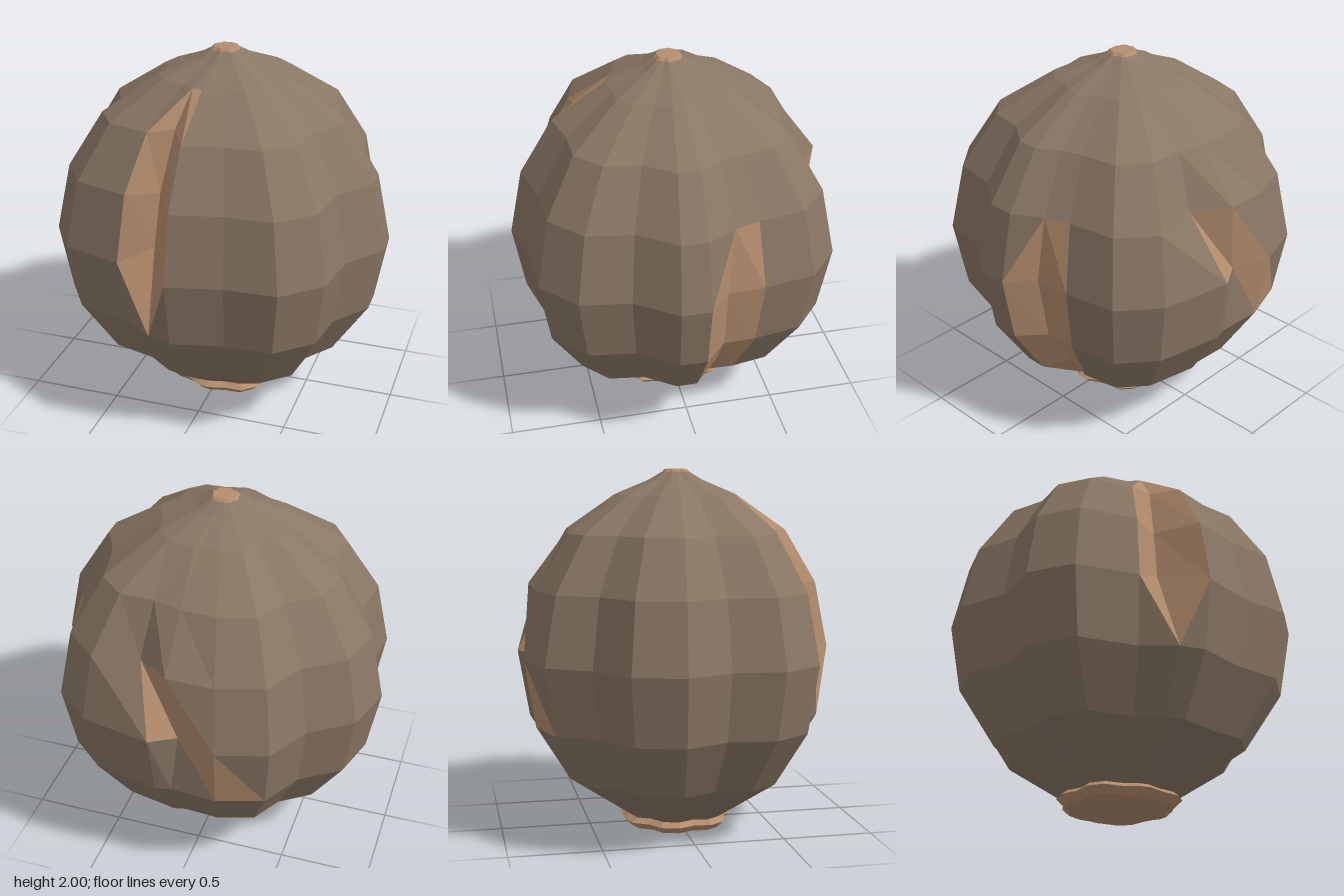
import * as THREE from 'three';

// Lobed plan of the ball at its equator, [x, z], running clockwise seen from above
const PLAN = [
  [0.93, -0.03], [0.93, 0.13], [0.77, 0.35], [0.73, 0.62], [0.53, 0.80], [0.25, 0.81],
  [-0.045, 0.88], [-0.19, 0.84], [-0.37, 0.71], [-0.70, 0.62], [-0.85, 0.40], [-0.82, 0.12],
  [-0.93, -0.13], [-0.85, -0.40], [-0.62, -0.56], [-0.49, -0.79], [-0.22, -0.875], [0.05, -0.86],
  [0.14, -0.88], [0.53, -0.80], [0.73, -0.63], [0.78, -0.35], [0.83, -0.20],
];

// Rings from bottom to top: [height, scale of the plan]
const RINGS = [
  [0, 0.31], [0.04, 0.355], [0.065, 0.32], [0.31, 0.715], [0.62, 0.93], [0.99, 1],
  [1.36, 0.915], [1.66, 0.71], [1.86, 0.385], [1.94, 0.17], [1.985, 0.085], [2, 0.07],
];

// Vertices pushed in (column,ring) to form the floors of the three gouges
const CARVED = {
  '7,5': [-0.19, 1.07, 0.62], '7,6': [-0.17, 1.36, 0.57], '7,7': [-0.12, 1.68, 0.47],
  '22,3': [0.55, 0.37, -0.16], '22,4': [0.73, 0.62, -0.15], '22,5': [0.79, 0.99, -0.15],
  '17,5': [0, 0.99, -0.80], '17,6': [0.05, 1.38, -0.82],
  '18,6': [0.23, 1.37, -0.69], '18,7': [0.19, 1.66, -0.57],
};

// Cells that show the pale inside: [diagonal, first triangle pale, second triangle pale]
const FULL = ['ac', true, true];
const PALE = {
  // front gouge
  '6,4': ['bd', false, true], '7,4': ['ac', true, false],
  '6,5': FULL, '7,5': FULL, '6,6': FULL, '7,6': FULL,
  '6,7': FULL, '7,7': ['bd', true, false],
  // side gouge
  '21,2': ['bd', false, true], '22,2': FULL, '21,3': FULL, '22,3': FULL,
  '21,4': FULL, '22,4': FULL, '21,5': FULL, '22,5': ['bd', true, false],
  // back gouge
  '15,4': ['ac', false, true], '16,4': ['ac', true, false],
  '16,5': ['ac', false, true], '17,5': FULL,
};

function point(i, j) {
  const col = i % PLAN.length;
  const [x, z] = PLAN[col];
  const [y, s] = RINGS[j];
  return CARVED[`${col},${j}`] || [x * s, y, z * s];
}

function makeMesh(name, triangles, color) {
  const geometry = new THREE.BufferGeometry();
  geometry.setAttribute('position', new THREE.Float32BufferAttribute(triangles.flat(2), 3));
  geometry.computeVertexNormals();
  const mesh = new THREE.Mesh(geometry, new THREE.MeshStandardMaterial({ color, flatShading: true }));
  mesh.name = name;
  return mesh;
}

export function createModel() {
  const shell = [], gouges = [], base = [], stem = [];
  const top = RINGS.length - 1;

  // Skin between neighbouring rings, sorted into parts
  for (let j = 0; j < top; j++) {
    for (let i = 0; i < PLAN.length; i++) {
      const a = point(i, j), b = point(i + 1, j), c = point(i + 1, j + 1), d = point(i, j + 1);
      const [diagonal, pale0, pale1] = PALE[`${i},${j}`] || ['ac', false, false];
      const pair = diagonal === 'ac' ? [[a, d, c], [a, c, b]] : [[a, d, b], [d, c, b]];
      if (j < 2) base.push(...pair);
      else if (j === top - 1) stem.push(...pair);
      else {
        (pale0 ? gouges : shell).push(pair[0]);
        (pale1 ? gouges : shell).push(pair[1]);
      }
    }
  }

  // Flat ends
  for (let i = 0; i < PLAN.length; i++) {
    base.push([[0, 0, 0], point(i, 0), point(i + 1, 0)]);
    stem.push([[0, 2, 0], point(i + 1, top), point(i, top)]);
  }

  const model = new THREE.Group();
  model.name = 'carvedLobedBall';
  const brown = 0x8a7765, tan = 0xb48d6e;
  model.add(
    makeMesh('shell', shell, brown),
    makeMesh('gouges', gouges, tan),
    makeMesh('baseRim', base, tan),
    makeMesh('topStub', stem, tan),
  );
  return model;
}
